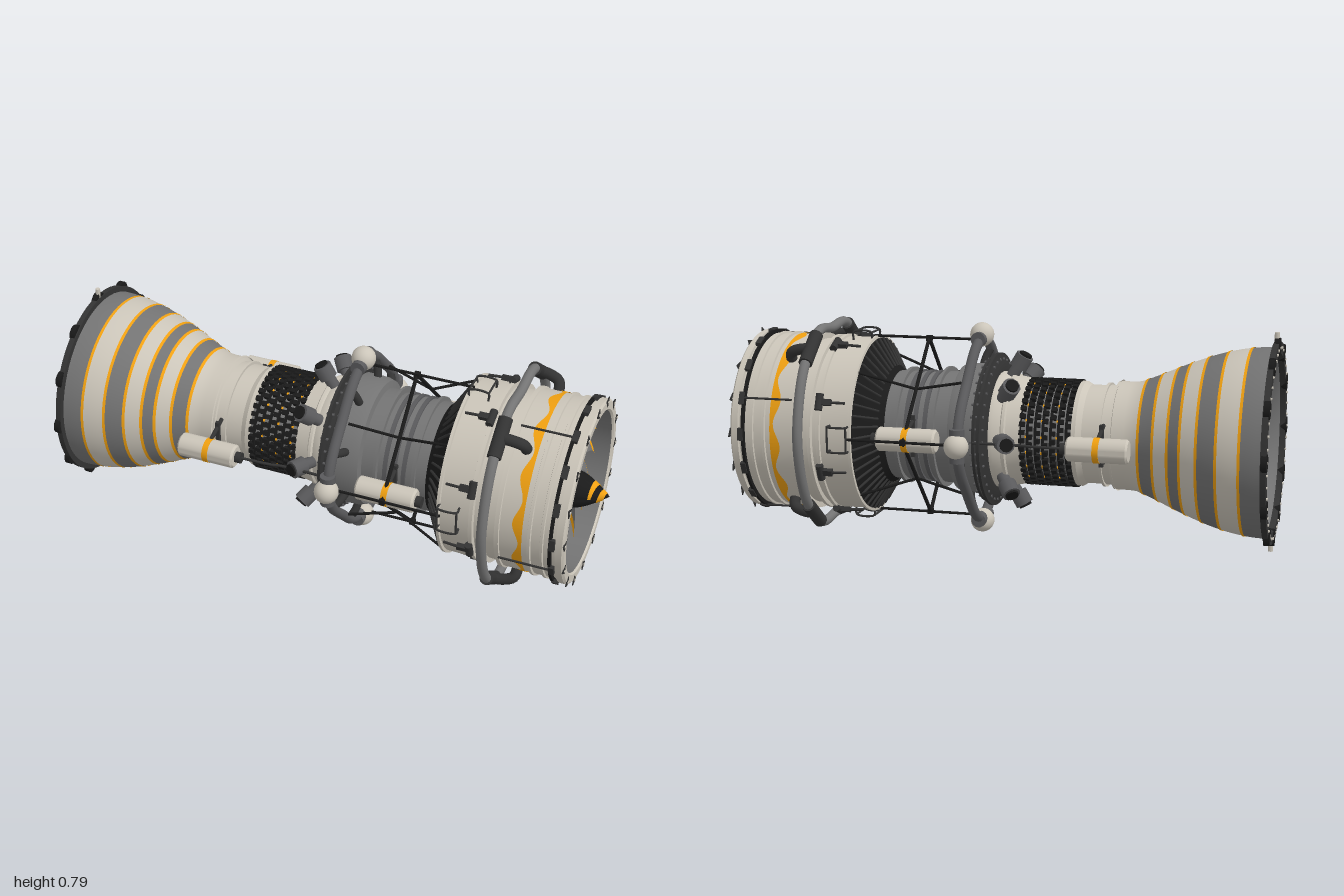
import * as THREE from 'three';
import { mergeGeometries, toCreasedNormals } from 'three/addons/utils/BufferGeometryUtils.js';
import { ParametricGeometry } from 'three/addons/geometries/ParametricGeometry.js';

const AXIS = 0.393; // height of the engine axis
const mat = (c) => new THREE.MeshStandardMaterial({ color: c, side: THREE.DoubleSide });
const CREAM = mat(0xcbc5b9), GREY = mat(0x747474), STEEL = mat(0x5a5a5c), DARK = mat(0x333333),
  BLACK = mat(0x1a1a1a), YELLOW = mat(0xf0a011);
const V = (x, y, z) => new THREE.Vector3(x, y, z);

export function createModel() {
  const root = new THREE.Group();
  root.name = 'jetEngine';
  const g = new THREE.Group();
  g.name = 'engineBody';
  g.position.y = AXIS;
  root.add(g);

  const add = (name, geo, m) => {
    const mesh = new THREE.Mesh(geo, m);
    mesh.name = name;
    g.add(mesh);
    return mesh;
  };
  // Solid of revolution about the x axis from [x, radius] pairs
  const turn = (name, pts, m, seg = 64) => {
    const geo = new THREE.LatheGeometry(pts.map(([x, r]) => new THREE.Vector2(r, x)), seg).rotateZ(-Math.PI / 2);
    return add(name, toCreasedNormals(geo, 0.5), m);
  };
  const band = (name, x0, x1, r, m, inner = r - 0.03) =>
    turn(name, [[x0, inner], [x0, r], [x1, r], [x1, inner]], m);
  // Copies of geometries (radial direction +y) around the axis
  const ring = (name, n, geos, m, a0 = 0) => {
    const out = [];
    for (let i = 0; i < n; i++)
      for (const q of geos) out.push(q.clone().rotateX(a0 + (i * 2 * Math.PI) / n));
    return add(name, mergeGeometries(out), m);
  };
  const box = (w, h, d, x, y, z = 0) => new THREE.BoxGeometry(w, h, d).translate(x, y, z);
  const cylX = (r, x0, x1, y, z = 0, r2 = r, seg = 24) =>
    new THREE.CylinderGeometry(r2, r, x1 - x0, seg).rotateZ(-Math.PI / 2).translate((x0 + x1) / 2, y, z);
  const rod = (a, b, r, seg = 8) => {
    const d = b.clone().sub(a);
    const q = new THREE.Quaternion().setFromUnitVectors(V(0, 1, 0), d.clone().normalize());
    return new THREE.CylinderGeometry(r, r, d.length(), seg).applyQuaternion(q)
      .translate((a.x + b.x) / 2, (a.y + b.y) / 2, (a.z + b.z) / 2);
  };
  const tube = (pts, r, closed = false, seg = 32) =>
    new THREE.TubeGeometry(new THREE.CatmullRomCurve3(pts, closed, 'centripetal'), seg, r, 12, closed);

  // Exhaust nozzle: striped bell with thin accent rings
  const edges = [-0.975, -0.9, -0.82, -0.75, -0.69, -0.645, -0.59, -0.535, -0.43];
  const bell = (x) => 0.195 + 0.142 * Math.pow(Math.sin((Math.PI / 2) * Math.min(1, Math.max(0, (-0.5 - x) / 0.475))), 1.15);
  for (let i = 0; i < edges.length - 1; i++) {
    const pts = [];
    for (let k = 0; k <= 4; k++) {
      const x = edges[i] + ((edges[i + 1] - edges[i]) * k) / 4;
      pts.push([x, bell(x)]);
    }
    turn('nozzleStripe', pts, i % 2 ? CREAM : GREY);
    if (i) turn('nozzleAccentRing', [-0.005, 0.005].map((d) => [edges[i] + d, bell(edges[i] + d) + 0.002]), YELLOW);
  }
  turn('nozzleFlange', [[-0.975, 0.325], [-0.975, 0.358], [-0.995, 0.358], [-0.995, 0.315], [-0.975, 0.31]], DARK);
  ring('flangeLug', 12, [cylX(0.032, -0.998, -0.978, 0.342, 0, 0.032, 12)], BLACK);
  ring('flangeBolt', 48, [cylX(0.005, -1, -0.99, 0.337, 0, 0.005, 6)], CREAM);
  ring('flangePin', 2, [rod(V(-0.985, 0.34, 0), V(-0.985, 0.393, 0), 0.009)], CREAM);

  // Nozzle interior: liner, turbine vanes and hub
  turn('nozzleLiner', [[-0.985, 0.328], [-0.96, 0.3], [-0.9, 0.275], [-0.84, 0.26], [-0.8, 0.255]], GREY);
  turn('turbineBackplate', [[-0.82, 0.26], [-0.84, 0.1]], DARK);
  ring('turbineVane', 48, [box(0.04, 0.13, 0.007, 0, 0).rotateY(0.5).translate(-0.86, 0.195, 0)], YELLOW);
  turn('turbineHub', [[-0.82, 0.12], [-0.89, 0.12], [-0.9, 0.11], [-0.87, 0.095], [-0.87, 0]], BLACK);
  for (const [x, r] of [[-0.895, 0.125], [-0.88, 0.262]])
    add('turbineAccentRing', new THREE.TorusGeometry(r, 0.006, 6, 48).rotateY(Math.PI / 2).translate(x, 0, 0), YELLOW);

  // Turbine neck
  turn('neck', [[-0.44, 0.2], [-0.43, 0.18], [-0.4, 0.18], [-0.4, 0.188], [-0.39, 0.188], [-0.39, 0.178],
    [-0.33, 0.178], [-0.31, 0.19], [-0.295, 0.19], [-0.295, 0.17]], CREAM);
  // Ribbed section: staggered rows of blocks
  turn('ribbedCore', [[-0.3, 0.178], [-0.1, 0.178]], GREY);
  for (let i = 0; i < 7; i++) {
    const x = -0.285 + i * 0.028;
    ring('ribBlocks', 40, [box(0.019, 0.025, 0.017, x, 0.183), box(0.008, 0.01, 0.03, x + 0.008, 0.183)],
      BLACK, (i % 2) * Math.PI / 40);
    if (i % 2) ring('ribAccent', 20, [box(0.006, 0.006, 0.008, x + 0.013, 0.186)], YELLOW, 0.08);
  }
  // Combustor with angled igniters
  turn('combustor', [[-0.11, 0.17], [-0.11, 0.192], [-0.06, 0.2], [-0.055, 0.207], [-0.045, 0.207], [-0.04, 0.2],
    [-0.015, 0.212], [0, 0.212], [0, 0.19]], CREAM);
  ring('igniter', 8, [rod(V(-0.03, 0.19, 0), V(-0.065, 0.245, 0), 0.022, 12), rod(V(-0.058, 0.232, 0), V(-0.084, 0.276, 0), 0.033, 12)], STEEL);
  ring('igniterCap', 8, [rod(V(-0.084, 0.275, 0), V(-0.088, 0.283, 0), 0.024, 12)], BLACK);
  // Compressor casing
  turn('compressorFlange', [[0, 0.2], [0, 0.235], [0.008, 0.25], [0.014, 0.28], [0.024, 0.28], [0.026, 0.25], [0.034, 0.25],
    [0.036, 0.265], [0.046, 0.265], [0.048, 0.24]], DARK);
  ring('compressorBolts', 36, [cylX(0.005, 0.005, 0.055, 0.257, 0, 0.005, 6)], STEEL);
  turn('compressorCasing', [[0.048, 0.24], [0.12, 0.238], [0.145, 0.23], [0.15, 0.205], [0.2, 0.205], [0.2, 0.222], [0.21, 0.222],
    [0.21, 0.2], [0.34, 0.2], [0.34, 0.215], [0.352, 0.215], [0.352, 0.2], [0.39, 0.2]], GREY);
  for (let i = 0; i < 3; i++) band('compressorHoop', 0.23 + i * 0.035, 0.245 + i * 0.035, 0.207, STEEL);

  // Bleed manifold: lobed loop with four round valves
  const lobes = [];
  for (let i = 0; i < 32; i++) {
    const a = (i * Math.PI) / 16, r = 0.31 + 0.022 * Math.cos(4 * a);
    lobes.push(V(0.077, r * Math.cos(a), r * Math.sin(a)));
  }
  add('bleedManifold', tube(lobes, 0.019, true, 96), STEEL);
  ring('manifoldValve', 4, [new THREE.SphereGeometry(0.044, 20, 14).translate(0.077, 0.347, 0)], CREAM);
  ring('valveCollar', 4, [rod(V(0.077, 0.335, -0.06), V(0.077, 0.335, 0.06), 0.027, 16)], STEEL);
  ring('manifoldFeed', 8, [tube([V(0.077, 0.3, 0), V(0.09, 0.27, 0), V(0.1, 0.22, 0)], 0.015, false, 8)], DARK, Math.PI / 8);

  // Flared bulkhead behind the fan case
  turn('flaredBulkhead', [[0.385, 0.195], [0.41, 0.215], [0.435, 0.245], [0.458, 0.285], [0.475, 0.322]], BLACK);
  ring('bulkheadRib', 48, [rod(V(0.41, 0.216, 0), V(0.472, 0.318, 0), 0.005, 5)], DARK);

  // Fan case, stepped outside and open to the front
  turn('fanCaseRear', [[0.47, 0.3], [0.475, 0.328], [0.485, 0.328], [0.487, 0.318], [0.59, 0.32], [0.592, 0.328], [0.605, 0.328],
    [0.607, 0.31], [0.625, 0.31], [0.627, 0.325], [0.64, 0.325], [0.642, 0.308], [0.685, 0.308]], CREAM);
  turn('fanCaseFront', [[0.685, 0.3], [0.685, 0.328], [0.7, 0.328], [0.702, 0.322], [0.8, 0.322], [0.802, 0.33], [0.812, 0.33],
    [0.814, 0.322], [0.845, 0.322], [0.847, 0.329], [0.856, 0.329], [0.858, 0.322], [0.9, 0.322], [0.902, 0.333], [0.925, 0.333],
    [0.932, 0.325], [0.932, 0.298], [0.925, 0.292]], CREAM);
  turn('inletLiner', [[0.925, 0.292], [0.6, 0.288]], GREY);
  band('frontBand', 0.878, 0.888, 0.337, BLACK);
  ring('frontBracket', 16, [box(0.02, 0.014, 0.045, 0.89, 0.334),
    new THREE.CylinderGeometry(0.022, 0.022, 0.004, 3).rotateZ(-Math.PI / 2).translate(0.932, 0.325, 0).scale(1, 1, 0.95)], DARK);
  ring('frontBracketBolt', 16, [cylX(0.005, 0.93, 0.937, 0.326, 0, 0.005, 8)], CREAM);
  // Accent band with a wavy rear edge
  add('wavyAccentBand', new ParametricGeometry((u, v, p) => {
    const a = u * 2 * Math.PI, x = v ? 0.782 : 0.757 + 0.012 * Math.sin(12 * a);
    p.set(x, 0.3245 * Math.cos(a), 0.3245 * Math.sin(a));
  }, 144, 1), YELLOW);

  // Case fittings
  ring('caseActuator', 8, [rod(V(0.595, 0.334, -0.03), V(0.595, 0.334, 0.03), 0.014, 10), box(0.05, 0.018, 0.022, 0.575, 0.333),
    rod(V(0.5, 0.33, 0), V(0.56, 0.334, 0), 0.005)], DARK, Math.PI / 8);
  ring('caseHandle', 4, [-0.045, 0.045].map((z) => tube([V(0.485, 0.32, z), V(0.485, 0.345, z), V(0.555, 0.345, z), V(0.555, 0.315, z)], 0.004, false, 16))
    .concat([0.485, 0.555].map((x) => rod(V(x, 0.345, -0.045), V(x, 0.345, 0.045), 0.004))), DARK);
  ring('casePipe', 4, [rod(V(0.7, 0.333, 0.13), V(0.88, 0.333, 0.13), 0.004)].map((q) => q.translate(0, -0.025, 0)), DARK);

  // Air duct loop around the fan case, with sleeves and elbows at the corners
  const quad = [[0, 0.353], [0.11, 0.361], [0.165, 0.347], [0.28, 0.26], [0.325, 0.195], [0.36, 0.1], [0.375, 0]];
  const half = [...quad, ...quad.slice(0, -1).reverse().map(([z, y]) => [z, -y])];
  const loop = [...half, ...half.slice(1, -1).reverse().map(([z, y]) => [-z, y])];
  add('airDuct', tube(loop.map(([z, y]) => V(0.655, y, z)), 0.018, true, 128), GREY);
  for (const sy of [1, -1]) for (const sz of [1, -1]) {
    add('ductSleeve', rod(V(0.655, 0.347 * sy, 0.165 * sz), V(0.655, 0.26 * sy, 0.28 * sz), 0.025, 16), DARK);
    add('ductElbow', tube([V(0.655, 0.305 * sy, 0.222 * sz), V(0.7, 0.3 * sy, 0.218 * sz), V(0.735, 0.285 * sy, 0.208 * sz),
      V(0.742, 0.245 * sy, 0.18 * sz)], 0.02, false, 16), DARK);
  }

  // Fan: sixteen swept blades with coloured tips
  const blade = (r0, r1, n) => new ParametricGeometry((u, v, p) => {
    const r = r0 + (r1 - r0) * v, k = (r - 0.06) / 0.228;
    const w = 0.2 + 0.25 * Math.min(1, k * 1.4);
    const a = 0.45 * k * k - 0.15 * k + (u - 0.5) * w;
    p.set(0.77 + 0.08 * u + 0.012 * Math.sin(Math.PI * u) + 0.02 * k, r * Math.cos(a), -r * Math.sin(a));
  }, 6, n);
  ring('fanBlades', 16, [blade(0.055, 0.262, 14)], GREY);
  ring('fanBladeTips', 16, [blade(0.262, 0.288, 3)], YELLOW);
  turn('fanHub', [[0.6, 0.1], [0.72, 0.085], [0.82, 0.07], [0.885, 0.066]], DARK);
  turn('statorPlate', [[0.62, 0.29], [0.64, 0.09]], GREY);
  ring('statorVanes', 32, [box(0.07, 0.13, 0.012, 0, 0).rotateY(0.5).translate(0.69, 0.165, 0)], CREAM);

  // Spinner with a spiral stripe
  const spinR = (x) => 0.066 * (1 - Math.pow(Math.max(0, (x - 0.885) / 0.115), 1.4));
  const spinX = (r) => 0.885 + 0.115 * Math.pow(1 - r / 0.066, 1 / 1.4);
  turn('spinner', Array.from({ length: 13 }, (_, i) => 0.885 + (0.115 * i) / 12).map((x) => [x, spinR(x)]), BLACK, 48);
  add('spinnerSpiral', new ParametricGeometry((u, v, p) => {
    const a = Math.PI / 2 - u * 3.1 * Math.PI, r = 0.045 * (1 - 0.82 * u) + (v - 0.5) * 0.016 * Math.sin(Math.PI * (0.12 + 0.75 * u));
    p.set(spinX(r) + 0.0015, (r + 0.001) * Math.cos(a), (r + 0.001) * Math.sin(a));
  }, 72, 3), YELLOW);

  // Side tanks, two on each flank, with bands, caps and mounts
  for (const s of [1, -1]) for (const x0 of [-0.52, 0.168]) {
    const z = 0.28 * s, x1 = x0 + 0.218;
    const prof = [[x0, 0], [x0, 0.036], [x0 + 0.007, 0.043], [x1 - 0.007, 0.043], [x1, 0.036], [x1, 0]];
    turn('sideTank', prof, CREAM, 32).position.z = z;
    add('tankBand', cylX(0.0445, x0 + 0.1, x0 + 0.122, 0, z), YELLOW);
    add('tankCap', cylX(0.02, x1, x1 + 0.022, 0, z), DARK);
    for (const y of [0.03, -0.03])
      add('tankMount', rod(V(x0 + 0.111, y * 2.2, 0.17 * s), V(x0 + 0.111, y, z), 0.008), DARK);
    add('tankMountBar', box(0.014, 0.15, 0.014, x0 + 0.111, 0, 0.205 * s), DARK);
  }
  for (const s of [1, -1])
    add('fuelLine', tube([V(-0.29, 0, 0.28 * s), V(-0.16, 0, 0.275 * s), V(-0.14, 0, 0.27 * s), V(0.04, 0, 0.27 * s)], 0.005), DARK);

  // Open truss: diamond frame and long tie rods
  ring('trussFrame', 4, [rod(V(0.278, 0.328, 0), V(0.278, 0, 0.328), 0.007), box(0.02, 0.02, 0.02, 0.278, 0.326)], BLACK);
  ring('tieRod', 4, [rod(V(0.1, 0.328, 0), V(0.49, 0.328, 0), 0.005),
    rod(V(0.278, 0.164, 0.164), V(0.475, 0.225, 0.225), 0.005), rod(V(0.278, 0.164, 0.164), V(0.1, 0.2, 0.2), 0.005)], BLACK);

  return root;
}
